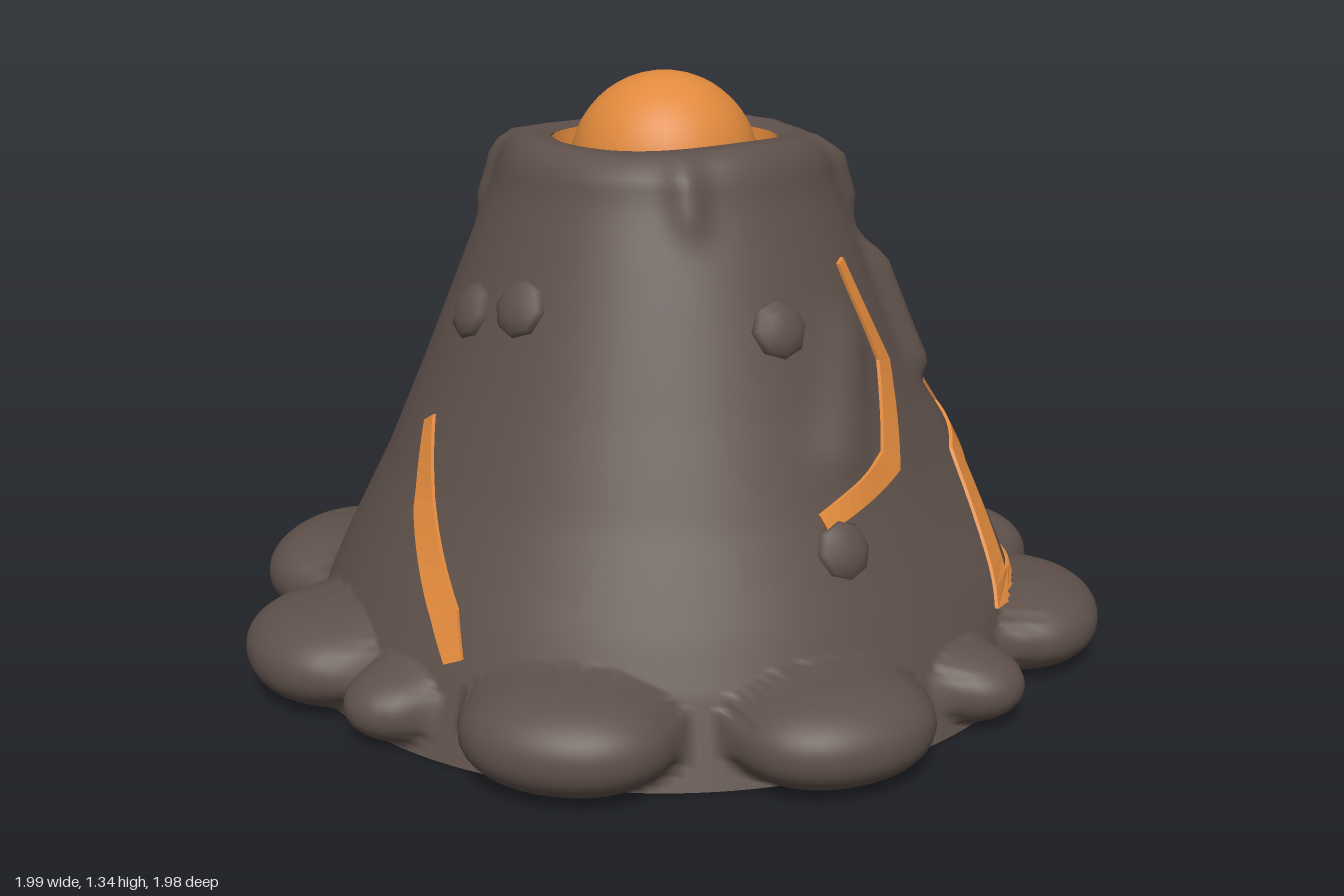
import * as THREE from 'three';
import { mergeVertices } from 'three/addons/utils/BufferGeometryUtils.js';

const rad = THREE.MathUtils.degToRad, deg = THREE.MathUtils.radToDeg;
const wrap = a => THREE.MathUtils.euclideanModulo(a + 180, 360) - 180;

// Cone outline as [height, radius]
const PROFILE = [[0, 0.86], [0.2, 0.79], [0.3, 0.745], [0.5, 0.645], [0.7, 0.56], [0.85, 0.5],
  [1.0, 0.44], [1.12, 0.39], [1.19, 0.37], [1.225, 0.335]];

// Raised ridges: [angle, height, angle, height, swell, spread]; angle 0 faces front, 90 faces +x
const RIDGES = [
  [134, 0.95, 141, 0.72, 0.055, 0.05], [141, 0.72, 160, 0.46, 0.055, 0.055],
  [123, 0.82, 126, 0.52, 0.045, 0.045], [58, 1.17, 60, 1.1, 0.035, 0.055],
  [54, 0.94, 53, 0.72, 0.05, 0.042], [44, 0.25, 56, 0.52, 0.04, 0.14],
  [232, 1.18, 232, 1.1, 0.03, 0.055], [335, 1.18, 336, 1.12, 0.02, 0.055],
  [100, 1.18, 105, 1.0, 0.025, 0.055], [185, 1.16, 190, 1.0, 0.015, 0.055],
  [8, 0.62, 18, 0.82, 0.022, 0.06],
];

// Lava cracks as paths of [angle, height]
const CRACKS = [
  [[26, 0.98], [31.5, 0.76], [20.5, 0.57], [-1, 0.49]],
  [[62, 0.82], [60, 0.72], [63, 0.57]],
  [[63, 0.57], [49, 0.5], [38, 0.235], [64, 0.22], [76, 0.36], [63, 0.57]],
  [[107, 0.76], [104, 0.55], [118, 0.32], [113, 0.06]],
  [[153, 0.88], [165, 0.66], [181, 0.47]],
  [[130, 0.74], [132, 0.6], [147, 0.44], [137, 0.25]],
  [[215, 0.96], [213, 0.8], [220, 0.48], [225, 0.2]],
  [[268, 0.64], [277, 0.48], [291, 0.3], [295, 0.22]],
];

// Foot boulders: [angle, outer radius, half width, top]
const BOULDERS = [
  [263, 1.0, 0.245, 0.24], [226, 0.99, 0.255, 0.25], [197, 0.97, 0.21, 0.23], [167, 1.0, 0.245, 0.24],
  [133, 0.99, 0.255, 0.24], [97, 1.0, 0.235, 0.22], [74, 0.93, 0.16, 0.27], [50, 1.02, 0.245, 0.23],
  [22, 0.94, 0.14, 0.2], [353, 1.0, 0.245, 0.24], [315, 0.99, 0.255, 0.25], [285, 0.93, 0.14, 0.2],
];

// Loose stones: [angle, height]
const STONES = [[358, 0.87], [2, 0.43], [270, 0.87], [289, 0.9], [196, 0.45], [197, 0.68],
  [199, 0.86]];

function baseRadius(y) {
  let i = 1;
  while (i < PROFILE.length - 1 && PROFILE[i][0] < y) i++;
  const [y0, r0] = PROFILE[i - 1], [y1, r1] = PROFILE[i];
  return r0 + (r1 - r0) * (y - y0) / (y1 - y0);
}

// Radius of the slope with its ridges
function slopeRadius(angle, y) {
  let r = baseRadius(y);
  for (const [a0, y0, a1, y1, amp, spread] of RIDGES) {
    const px = rad(wrap(angle - a0)) * 0.55, py = y - y0;
    const dx = rad(a1 - a0) * 0.55, dy = y1 - y0;
    const t = THREE.MathUtils.clamp((px * dx + py * dy) / (dx * dx + dy * dy), 0, 1);
    r += amp * Math.exp(-((Math.hypot(px - dx * t, py - dy * t) / spread) ** 2));
  }
  return r;
}

// Radius of the whole shell, where rounded boulders bulge out of the foot
function shellRadius(angle, y) {
  const bottom = 0.01, depth = 0.24, power = 2.2;
  let r = slopeRadius(angle, y);
  for (const [a, outer, half, top] of BOULDERS) {
    const t = Math.abs(rad(wrap(angle - a)) * 0.87 / half);
    const v = Math.abs((2 * y - bottom - top) / (top - bottom));
    const rest = 1 - t ** power - v ** power;
    if (rest > 0) r = Math.max(r, outer - depth + depth * rest ** (1 / power));
  }
  return r;
}

// Point on the slope, lifted outward by "lift"
function onSlope(angle, y, lift = 0) {
  const r = slopeRadius(angle, y) + lift;
  return new THREE.Vector3(Math.sin(rad(angle)) * r, y, Math.cos(rad(angle)) * r);
}

// Open shell of the cone: finer rows at the foot, with a rim folded inward at the top
function shellGeometry() {
  const pts = [];
  const row = y => pts.push(new THREE.Vector2(baseRadius(y), y));
  for (let i = 0; i < 28; i++) row(0.025 + 0.25 * i / 28);
  for (let i = 0; i <= 40; i++) row(0.275 + 0.95 * i / 40);
  pts.push(new THREE.Vector2(0.3, 1.232), new THREE.Vector2(0.255, 1.215));
  let geo = new THREE.LatheGeometry(pts, 216);
  const p = geo.attributes.position;
  for (let i = 0; i < p.count; i++) {
    const x = p.getX(i), y = p.getY(i), z = p.getZ(i), r = Math.hypot(x, z);
    const a = Math.atan2(x, z);
    const k = r < 0.32 ? 1 : shellRadius(deg(a), y) / r;
    const wave = y > 1.2 ? 0.007 * Math.sin(3 * a + 1) : 0;
    p.setXYZ(i, x * k, y + wave, z * k);
  }
  geo.deleteAttribute('uv');
  geo.deleteAttribute('normal');
  geo = mergeVertices(geo, 1e-4);
  geo.computeVertexNormals();
  return geo;
}

// Thin band that follows the slope along a crack path
function crackGeometry(path) {
  const S = 0.6, flat = path.map(([a, y]) => new THREE.Vector2(rad(a) * S, y));
  const last = flat.length - 1;
  const closed = flat[0].distanceTo(flat[last]) < 1e-6;
  const side = flat.map((_, i) => {
    const into = flat[i].clone().sub(flat[i > 0 ? i - 1 : last - 1]).normalize();
    const out = flat[i < last ? i + 1 : 1].clone().sub(flat[i]).normalize();
    if (!closed && i === 0) into.copy(out);
    if (!closed && i === last) out.copy(into);
    const d = into.clone().add(out).normalize();
    const width = !closed && (i === 0 || i === last) ? 0.018 : 0.029 / Math.max(0.6, d.dot(out));
    return new THREE.Vector2(-d.y, d.x).multiplyScalar(width);
  });
  const pos = [], index = [], steps = 8;
  for (let i = 0; i < last; i++) {
    for (let s = i ? 1 : 0; s <= steps; s++) {
      const c = flat[i].clone().lerp(flat[i + 1], s / steps);
      const w = side[i].clone().lerp(side[i + 1], s / steps);
      for (const [m, lift] of [[-1, -0.01], [1, -0.01], [1, 0.008], [-1, 0.008]]) {
        pos.push(...onSlope(deg((c.x + w.x * m) / S), c.y + w.y * m, lift).toArray());
      }
    }
  }
  const rings = pos.length / 12;
  for (let r = 0; r < rings - 1; r++) {
    for (let k = 0; k < 4; k++) {
      const a = r * 4 + k, b = r * 4 + (k + 1) % 4;
      index.push(a, b, a + 4, b, b + 4, a + 4);
    }
  }
  const e = (rings - 1) * 4;
  index.push(0, 2, 1, 0, 3, 2, e, e + 1, e + 2, e, e + 2, e + 3);
  let geo = new THREE.BufferGeometry();
  geo.setAttribute('position', new THREE.Float32BufferAttribute(pos, 3));
  geo.setIndex(index);
  geo = geo.toNonIndexed();
  geo.computeVertexNormals();
  return geo;
}

export function createModel() {
  const rock = new THREE.MeshStandardMaterial({ color: 0x5e504a, side: THREE.DoubleSide });
  rock.name = 'dark rock';
  const lava = new THREE.MeshStandardMaterial({ color: 0xe0893c, side: THREE.DoubleSide });
  lava.name = 'orange lava';

  const model = new THREE.Group();
  model.name = 'volcano';
  const add = (name, geo, mat) => {
    const mesh = new THREE.Mesh(geo, mat);
    mesh.name = name;
    model.add(mesh);
    return mesh;
  };

  add('slopeWithBoulders', shellGeometry(), rock);

  // Crater lining and the lava bubble
  const lining = [[0.255, 1.217], [0.235, 1.15], [0.205, 1.1]].map(q => new THREE.Vector2(...q));
  add('craterLining', new THREE.LatheGeometry(lining, 48), lava);
  add('lavaDome', new THREE.SphereGeometry(0.215, 36, 24), lava).position.y = 1.15;

  CRACKS.forEach((path, i) => add(`lavaCrack${i + 1}`, crackGeometry(path), lava));

  // Flattened eight-sided stones stuck to the slope
  const stoneGeo = new THREE.SphereGeometry(0.067, 8, 6).rotateX(Math.PI / 2);
  STONES.forEach(([a, y], i) => {
    const stone = add(`stone${i + 1}`, stoneGeo, rock);
    const at = onSlope(a, y, -0.005);
    stone.position.copy(at);
    stone.lookAt(at.x + Math.sin(rad(a)), at.y + 0.42, at.z + Math.cos(rad(a)));
    stone.scale.z = 0.5;
  });
  return model;
}
